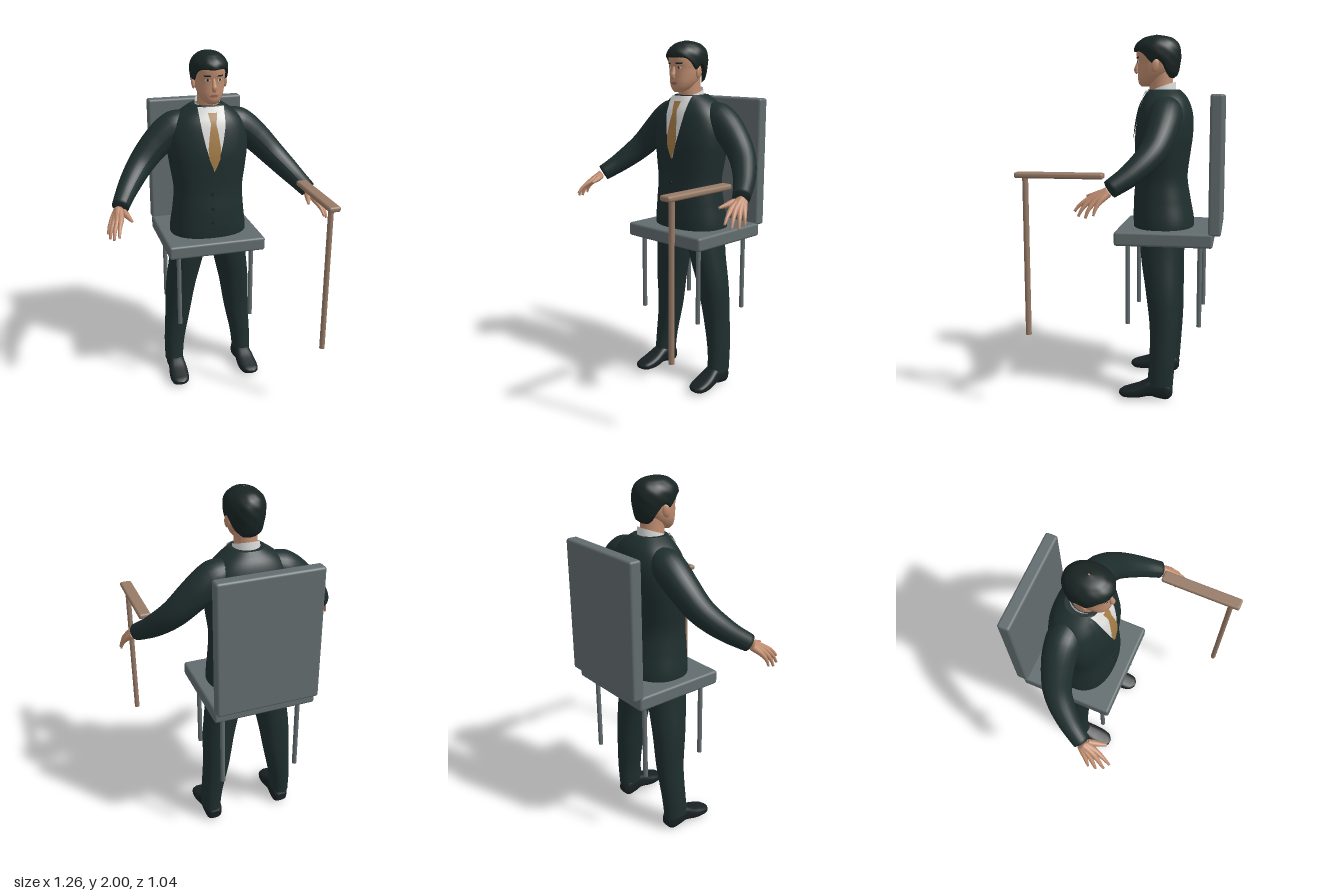
import * as THREE from 'three';
import { RoundedBoxGeometry } from 'three/addons/geometries/RoundedBoxGeometry.js';

const paint = (name, color, side = THREE.FrontSide) => {
  const m = new THREE.MeshStandardMaterial({ color, side });
  m.name = name;
  return m;
};

// Smooth grid surface from f(u, v); u runs around or across, v runs upward
function grid(nu, nv, f, closed = false, caps = false) {
  const pos = [], idx = [], w = closed ? nu : nu + 1;
  for (let i = 0; i <= nv; i++) for (let j = 0; j < w; j++) pos.push(...f(j / nu, i / nv));
  for (let i = 0; i < nv; i++) for (let j = 0; j < nu; j++) {
    const k = (j + 1) % w, a = i * w + j, b = i * w + k;
    idx.push(a, b, a + w, b, b + w, a + w);
  }
  if (caps) for (const row of [0, nv]) {
    const start = pos.length / 3, mid = [0, 0, 0];
    for (let j = 0; j < nu; j++) {
      const p = f(j / nu, row / nv);
      pos.push(...p);
      p.forEach((c, n) => (mid[n] += c / nu));
    }
    pos.push(...mid);
    for (let j = 0; j < nu; j++) {
      const a = start + j, b = start + (j + 1) % nu;
      idx.push(start + nu, row ? a : b, row ? b : a);
    }
  }
  const g = new THREE.BufferGeometry();
  g.setAttribute('position', new THREE.Float32BufferAttribute(pos, 3));
  g.setIndex(idx);
  g.computeVertexNormals();
  return g;
}

// Body profile from rows [y, centreX, halfWidth, zFront, zBack]
function profile(rows, n = 2) {
  const spline = new THREE.CubicInterpolant(
    new Float32Array(rows.map((r) => r[0])), new Float32Array(rows.flatMap((r) => r.slice(1))), 4);
  const pw = (s) => Math.sign(s) * Math.abs(s) ** (2 / n);
  const point = (a, y, k = 1) => {
    const [cx, hw, zf, zb] = spline.evaluate(y);
    return [cx + k * hw * pw(Math.sin(a)), y, (zf + zb) / 2 + k * (zf - zb) / 2 * pw(Math.cos(a))];
  };
  const frontZ = (x, y) => {
    const [cx, hw, zf, zb] = spline.evaluate(y);
    const t = Math.min(1, Math.abs((x - cx) / hw));
    return (zf + zb) / 2 + (zf - zb) / 2 * (1 - t ** n) ** (1 / n);
  };
  const y0 = rows[0][0], y1 = rows[rows.length - 1][0];
  const loft = (seg = 36, steps = 40) =>
    grid(seg, steps, (u, v) => point(u * Math.PI * 2, y0 + (y1 - y0) * v), true, true);
  return { point, frontZ, loft };
}

// Thin patch lying on a profile's front, from rows [y, xLeft, xRight] going up
function patch(surface, rows, lift, mirror = false) {
  return grid(8, 24, (u, v) => {
    const t = v * (rows.length - 1), i = Math.min(Math.floor(t), rows.length - 2), f = t - i;
    const [y, a, b] = rows[i].map((c, n) => c + (rows[i + 1][n] - c) * f);
    const x = mirror ? -(b + (a - b) * u) : a + (b - a) * u;
    return [x, y, surface.frontZ(x, y) + lift];
  });
}

// Tapered tube with flat closed ends
function limb(points, radii, n = 24, seg = 14) {
  const curve = new THREE.CatmullRomCurve3(points.map((p) => new THREE.Vector3(...p)));
  const g = new THREE.TubeGeometry(curve, n, 1, seg), p = g.attributes.position, q = new THREE.Vector3();
  for (let i = 0; i <= n; i++) {
    const end = i === 0 || i === n, k = i === 0 ? 1 : i === n ? n - 1 : i;
    const c = curve.getPointAt(i / n), base = curve.getPointAt(k / n);
    const t = (i / n) * (radii.length - 1), s = Math.min(Math.floor(t), radii.length - 2);
    const r = end ? 0 : THREE.MathUtils.lerp(radii[s], radii[s + 1], t - s);
    for (let j = 0; j <= seg; j++) {
      const m = i * (seg + 1) + j;
      q.fromBufferAttribute(p, m).sub(c).multiplyScalar(r).add(base);
      p.setXYZ(m, q.x, q.y, q.z);
    }
  }
  g.computeVertexNormals();
  return g;
}

export function createModel() {
  const root = new THREE.Group();
  const suit = paint('suit', 0x1f2e2e), hair = paint('hair', 0x182423), shoe = paint('shoe leather', 0x182122);
  const skin = paint('skin', 0xc08d70), lip = paint('lips', 0x9c6354);
  const shirt = paint('shirt', 0xdcdddb, THREE.DoubleSide), tieMat = paint('tie', 0xa57c46);
  const chairMat = paint('chair', 0x626c6e), wood = paint('wood', 0x967a66);
  const add = (name, geo, mat, x = 0, y = 0, z = 0) => {
    const m = new THREE.Mesh(geo, mat);
    m.name = name;
    m.position.set(x, y, z);
    root.add(m);
    return m;
  };

  // Chair
  add('chairSeat', new RoundedBoxGeometry(0.565, 0.078, 0.53, 3, 0.014), chairMat, 0, 0.913, -0.215);
  add('chairBack', new RoundedBoxGeometry(0.565, 0.74, 0.068, 3, 0.014), chairMat, 0, 1.31, -0.488);
  for (const x of [-0.218, 0.218]) for (const z of [-0.018, -0.41])
    add('chairLeg', new THREE.CylinderGeometry(0.013, 0.013, 0.46, 16), chairMat, x, 0.657, z);

  // Stick with a long flat handle
  add('stickShaft', new THREE.CylinderGeometry(0.015, 0.015, 0.835, 20), wood, 0.484, 0.845, 0.468);
  add('stickHandle', new RoundedBoxGeometry(0.067, 0.03, 0.46, 3, 0.012), wood, 0.484, 1.273, 0.29);

  // Jacket
  const torso = profile([
    [0.885, 0, 0.218, -0.035, -0.35], [0.96, 0, 0.224, -0.025, -0.362], [1.1, 0, 0.208, -0.025, -0.34],
    [1.22, 0, 0.2, -0.033, -0.322], [1.35, 0, 0.218, -0.032, -0.335], [1.45, 0, 0.23, -0.032, -0.348],
    [1.55, 0, 0.225, -0.045, -0.35], [1.62, 0, 0.195, -0.062, -0.335], [1.67, 0, 0.145, -0.085, -0.31],
    [1.705, 0, 0.092, -0.1, -0.275]], 2.3);
  add('jacket', torso.loft(48, 60), suit);
  add('shirtFront', patch(torso, [[1.35, 0, 0], [1.43, -0.03, 0.03], [1.51, -0.052, 0.052],
    [1.6, -0.07, 0.07], [1.7, -0.075, 0.075]], 0.004), shirt);
  add('tie', patch(torso, [[1.36, -0.004, 0.004], [1.42, -0.03, 0.03], [1.48, -0.036, 0.036],
    [1.56, -0.025, 0.025], [1.62, -0.014, 0.014]], 0.01), tieMat);
  add('tieKnot', patch(torso, [[1.615, -0.015, 0.015], [1.64, -0.02, 0.02], [1.672, -0.025, 0.025]], 0.014), tieMat);
  for (const m of [false, true]) {
    add('lapel', patch(torso, [[1.33, 0, 0.012], [1.41, 0.024, 0.075], [1.49, 0.047, 0.125],
      [1.57, 0.064, 0.142], [1.63, 0.072, 0.11], [1.7, 0.075, 0.088]], 0.009, m), suit);
    add('shirtCollarWing', patch(torso, [[1.615, 0.046, 0.05], [1.655, 0.024, 0.066], [1.7, 0.028, 0.075]], 0.013, m), shirt);
  }
  for (const y of [1.215, 1.13, 1.045]) {
    const b = add('button', new THREE.CylinderGeometry(0.009, 0.009, 0.006, 14), shoe, -0.012, y, torso.frontZ(0, y) + 0.002);
    b.rotation.x = Math.PI / 2;
  }
  add('shirtCollar', grid(36, 4, (u, v) => {
    const a = u * Math.PI * 2, k = 1 - 0.08 * v;
    return [0.076 * k * Math.sin(a), 1.645 + v * (0.05 + 0.026 * (1 - Math.cos(a))), -0.178 + 0.08 * k * Math.cos(a)];
  }, true), shirt);

  // Arms and hands, mirrored
  const fingers = {
    thumb: [[[0.53, 1.2, 0.045], [0.515, 1.185, 0.095], [0.498, 1.172, 0.148]], [0.016, 0.017, 0.012, 0.006]],
    indexFinger: [[[0.545, 1.205, 0.03], [0.553, 1.175, 0.105], [0.57, 1.14, 0.162], [0.579, 1.1, 0.195]], [0.022, 0.017, 0.011, 0.006]],
    middleFinger: [[[0.55, 1.21, 0.02], [0.572, 1.168, 0.1], [0.594, 1.125, 0.145], [0.604, 1.077, 0.17]], [0.025, 0.018, 0.011, 0.006]],
    ringFinger: [[[0.555, 1.205, 0.02], [0.587, 1.16, 0.083], [0.609, 1.12, 0.113], [0.62, 1.072, 0.13]], [0.023, 0.017, 0.011, 0.006]],
    littleFinger: [[[0.56, 1.2, 0.02], [0.597, 1.157, 0.06], [0.615, 1.125, 0.078], [0.625, 1.086, 0.088]], [0.02, 0.016, 0.01, 0.005]],
  };
  for (const s of [1, -1]) {
    const side = (pts) => pts.map(([x, y, z]) => [s * x, y, z]);
    add('sleeve', limb(side([[0.08, 1.6, -0.215], [0.19, 1.57, -0.217], [0.29, 1.49, -0.208], [0.39, 1.385, -0.172],
      [0.48, 1.285, -0.08], [0.55, 1.205, 0.032]]), [0.07, 0.092, 0.088, 0.08, 0.072, 0.064, 0.054, 0.046], 40, 24), suit);
    for (const [name, [pts, radii]] of Object.entries(fingers)) add(name, limb(side(pts), radii), skin);
  }

  // Trousers and shoes, mirrored
  for (const s of [1, -1]) {
    add('trouserLeg', profile([
      [0.085, s * 0.222, 0.054, -0.128, -0.272], [0.2, s * 0.216, 0.06, -0.138, -0.28], [0.4, s * 0.19, 0.075, -0.138, -0.293],
      [0.6, s * 0.168, 0.089, -0.113, -0.296], [0.8, s * 0.132, 0.1, -0.08, -0.3], [0.92, s * 0.115, 0.104, -0.07, -0.31]], 2.1).loft(), suit);
    const foot = profile([
      [-0.268, s * 0.215, 0.03, -0.025, -0.07], [-0.25, s * 0.215, 0.044, -0.006, -0.1], [-0.2, s * 0.216, 0.05, -0.006, -0.125],
      [-0.15, s * 0.218, 0.05, -0.018, -0.118], [-0.08, s * 0.221, 0.057, -0.008, -0.082], [-0.02, s * 0.224, 0.054, -0.008, -0.06],
      [0.01, s * 0.226, 0.042, -0.012, -0.05], [0.027, s * 0.227, 0.018, -0.022, -0.04]], 2.8).loft(28, 32);
    add('shoe', foot.rotateX(Math.PI / 2), shoe);
  }

  // Neck and head
  add('neck', profile([[1.64, 0, 0.066, -0.112, -0.245], [1.72, 0, 0.06, -0.105, -0.238], [1.82, 0, 0.06, -0.1, -0.235]]).loft(28, 8), skin);
  const head = profile([
    [1.722, 0, 0.024, -0.062, -0.1], [1.735, 0, 0.042, -0.05, -0.14], [1.77, 0, 0.066, -0.043, -0.19],
    [1.81, 0, 0.078, -0.043, -0.23], [1.85, 0, 0.083, -0.042, -0.25], [1.88, 0, 0.086, -0.036, -0.26],
    [1.92, 0, 0.085, -0.037, -0.262], [1.96, 0, 0.068, -0.065, -0.24], [1.98, 0, 0.035, -0.1, -0.2]], 2.2);
  add('head', head.loft(40, 40), skin);
  add('nose', limb([[0, 1.865, -0.047], [0, 1.83, -0.038], [0, 1.808, -0.033], [0, 1.795, -0.042]], [0.007, 0.011, 0.014, 0.01]), skin);
  add('mouth', patch(head, [[1.762, -0.012, 0.012], [1.77, -0.026, 0.026], [1.778, -0.01, 0.01]], 0.004), lip);
  for (const m of [false, true]) {
    const s = m ? -1 : 1;
    add('eyeWhite', patch(head, [[1.849, 0.028, 0.04], [1.855, 0.019, 0.049], [1.861, 0.026, 0.042]], 0.002, m), shirt);
    add('iris', patch(head, [[1.849, 0.031, 0.037], [1.855, 0.028, 0.04], [1.862, 0.031, 0.037]], 0.004, m), hair);
    add('eyebrow', patch(head, [[1.873, 0.018, 0.05], [1.881, 0.02, 0.056]], 0.003, m), hair);
    const ear = add('ear', new THREE.SphereGeometry(1, 16, 12), skin, s * 0.088, 1.832, -0.148);
    ear.scale.set(0.011, 0.036, 0.021);
    ear.rotation.set(-0.2, s * 0.3, 0);
  }

  // Hair cap with a fringe, sideburns and a low nape
  const cap = profile([
    [1.755, 0, 0.066, -0.11, -0.25], [1.8, 0, 0.085, -0.07, -0.266], [1.85, 0, 0.098, -0.035, -0.277],
    [1.9, 0, 0.104, -0.022, -0.28], [1.94, 0, 0.098, -0.025, -0.272], [1.97, 0, 0.075, -0.053, -0.25],
    [1.99, 0, 0.043, -0.09, -0.21], [2.0, 0, 0.003, -0.14, -0.15]]);
  const hairline = new THREE.CubicInterpolant(new Float32Array([0, 50, 62, 76, 90, 104, 120, 180]),
    new Float32Array([1.905, 1.897, 1.875, 1.838, 1.862, 1.845, 1.79, 1.765]), 1);
  add('hair', grid(72, 28, (u, v) => {
    const a = u * Math.PI * 2, deg = 180 / Math.PI * Math.min(a, Math.PI * 2 - a);
    const edge = hairline.evaluate(deg)[0], y = edge + (2 - edge) * (1 - (1 - v) ** 2);
    const tuft = 1 + 0.012 * Math.sin(a * 9 + y * 40) * Math.sin(y * 60);
    return cap.point(a, y, v === 0 ? 0.8 : tuft);
  }, true), hair);

  return root;
}
